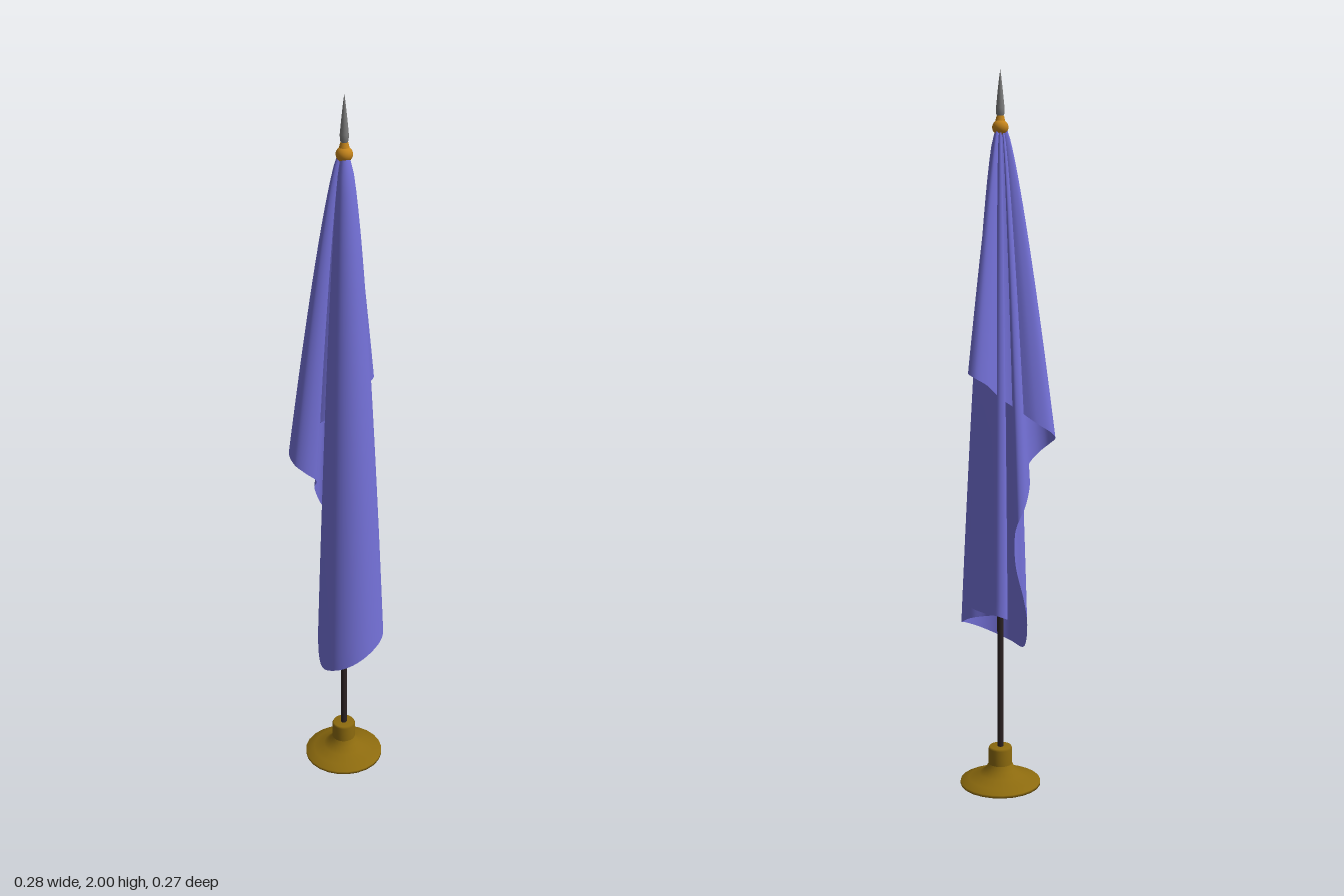
import * as THREE from 'three';

const POLE_X = 0.008, POLE_Z = 0.003, TOP = 1.845;

const mat = (name, color, side = THREE.FrontSide) => {
  const m = new THREE.MeshStandardMaterial({ color, side });
  m.name = name;
  return m;
};

// Lower hem of the draped cloth, followed from the free end to the pole
const HEM = [
  [0.093, 0.53, -0.033], [0.06, 0.53, -0.065], [0.01, 0.53, -0.09], [-0.038, 0.53, -0.102],
  [-0.056, 0.52, -0.085], [-0.04, 0.52, -0.06], [0.0, 0.51, -0.035], [0.04, 0.5, -0.022],
  [0.085, 0.49, -0.029], [0.122, 0.47, -0.015], [0.137, 0.455, 0.03], [0.12, 0.43, 0.085],
  [0.085, 0.405, 0.12], [0.04, 0.385, 0.133], [-0.008, 0.375, 0.12], [-0.035, 0.45, 0.09],
  [-0.042, 0.53, 0.055], [-0.032, 0.64, 0.02], [-0.045, 0.73, -0.015], [-0.07, 0.78, -0.05],
  [-0.087, 0.83, -0.035], [-0.082, 0.89, 0.005], [-0.062, 0.93, 0.035], [-0.08, 0.965, 0.068],
  [-0.108, 0.99, 0.078], [-0.134, 1.01, 0.058], [-0.138, 1.03, 0.025], [-0.105, 1.06, -0.006],
  [-0.05, 1.1, -0.025], [-0.022, 1.13, -0.06], [-0.008, 1.17, -0.11], [0.015, 1.19, -0.134],
  [0.038, 1.2, -0.13], [0.045, 1.2, -0.108], [0.03, 1.18, -0.065], [0.014, 1.15, -0.02],
].map((p) => new THREE.Vector3(...p));

// Cloth: every hem point is drawn up to the gathered top along a bowed line
function clothGeometry(cols = 200, rows = 32) {
  const hem = new THREE.CatmullRomCurve3(HEM, false, 'centripetal');
  const geo = new THREE.PlaneGeometry(1, 1, cols, rows);
  const pos = geo.attributes.position;
  for (let i = 0; i <= cols; i++) {
    const p = hem.getPoint(i / cols);
    const bow = THREE.MathUtils.mapLinear(p.y, 0.38, 1.2, 0.62, 0.85);
    for (let j = 0; j <= rows; j++) {
      const t = j / rows;
      const f = 0.12 + 0.88 * Math.pow(t, bow);
      pos.setXYZ(j * (cols + 1) + i,
        POLE_X + (p.x - POLE_X) * f,
        TOP + (p.y - TOP) * t,
        POLE_Z + (p.z - POLE_Z) * f);
    }
  }
  geo.computeVertexNormals();
  return geo;
}

const lathe = (pts, sides) =>
  new THREE.LatheGeometry(pts.map(([r, y]) => new THREE.Vector2(r, y)), sides);

export function createModel() {
  const group = new THREE.Group();
  const add = (name, geo, material, y = 0) => {
    const mesh = new THREE.Mesh(geo, material);
    mesh.name = name;
    mesh.position.set(POLE_X, y, POLE_Z);
    group.add(mesh);
    return mesh;
  };

  const brass = mat('dark brass', 0x8c6a0e);
  const gold = mat('gold', 0xc4841c);
  const steel = mat('grey metal', 0x7c7c7c);
  const wood = mat('dark pole', 0x2c2222);
  const fabric = mat('violet cloth', 0x7471d8, THREE.DoubleSide);

  // Flared stand with a socket for the pole
  add('base', lathe([[0, 0], [0.115, 0], [0.115, 0.008], [0.09, 0.017], [0.06, 0.03],
    [0.042, 0.044], [0.034, 0.06]], 24), brass);
  add('socket', lathe([[0.034, 0.056], [0.034, 0.105], [0.031, 0.111], [0, 0.111]], 24), brass);

  add('pole', new THREE.CylinderGeometry(0.009, 0.009, 1.76, 16), wood, 0.97);

  // Ball, neck and spear point
  const ball = add('finialBall', new THREE.SphereGeometry(0.022, 20, 14), gold, 1.85);
  ball.scale.y = 0.95;
  add('finialNeck', new THREE.CylinderGeometry(0.01, 0.014, 0.016, 16), gold, 1.872);
  add('spearPoint', lathe([[0.006, 1.875], [0.011, 1.885], [0.0115, 1.9], [0.007, 1.945],
    [0.003, 1.98], [0, 2]], 12), steel);

  // Draped flag
  const flag = add('flag', clothGeometry(), fabric);
  flag.position.set(0, 0, 0);
  return group;
}
